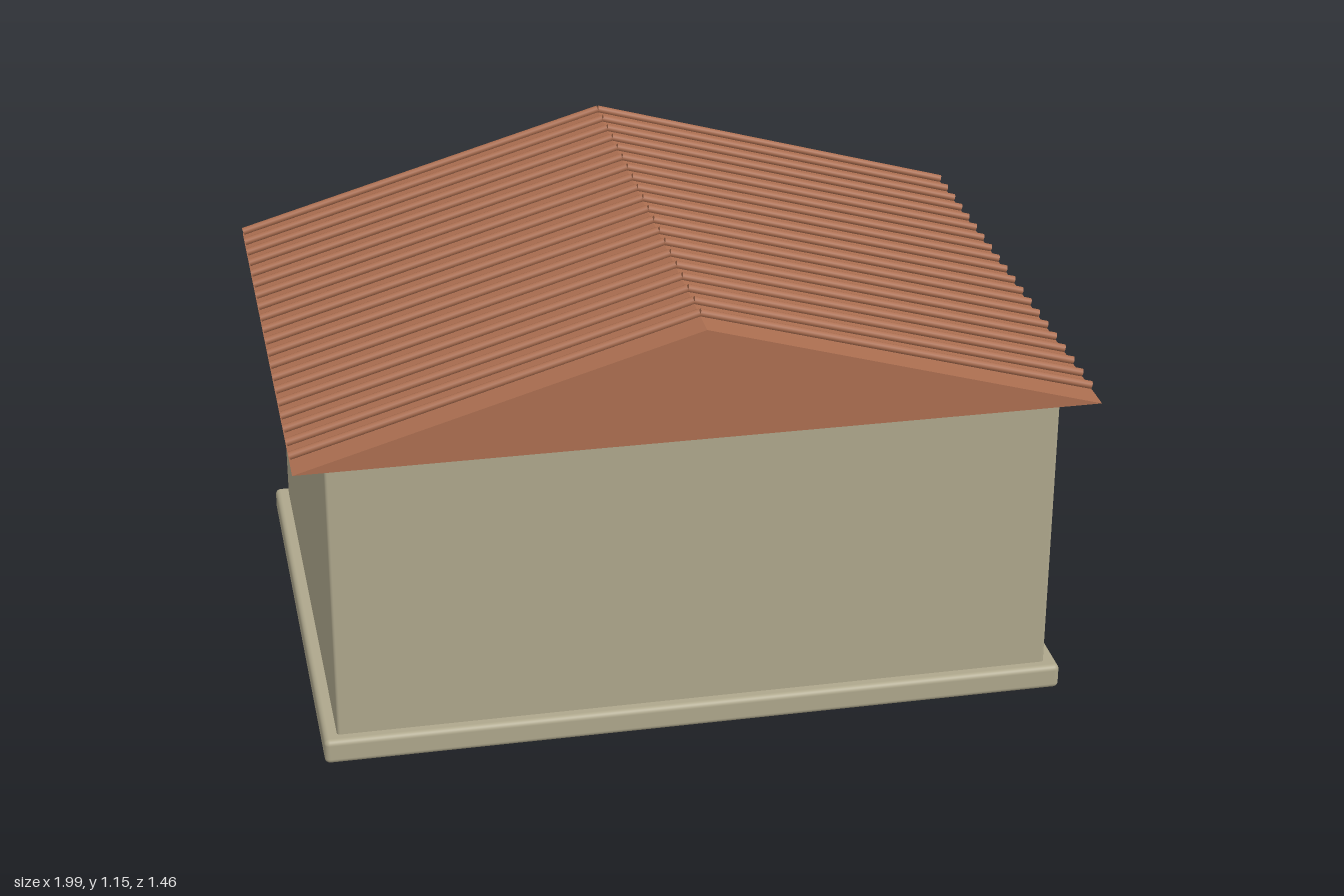
import * as THREE from 'three';
import { RoundedBoxGeometry } from 'three/addons/geometries/RoundedBoxGeometry.js';

export function createModel() {
  const mat = (name, color) => {
    const m = new THREE.MeshStandardMaterial({ color });
    m.name = name;
    return m;
  };
  const plaster = mat('plaster', 0xaea78c);
  const tile = mat('clay tile', 0xab6e50);
  const glass = mat('dark green', 0x394a43);
  const blue = mat('shutter blue', 0x356478);

  const house = new THREE.Group();
  house.name = 'house';
  const add = (parent, name, geometry, material, x = 0, y = 0, z = 0) => {
    const mesh = new THREE.Mesh(geometry, material);
    mesh.name = name;
    mesh.position.set(x, y, z);
    parent.add(mesh);
    return mesh;
  };
  // Box given by its limits on each axis
  const block = (parent, name, material, [x0, x1], [y0, y1], [z0, z1]) =>
    add(parent, name, new THREE.BoxGeometry(x1 - x0, y1 - y0, z1 - z0), material,
      (x0 + x1) / 2, (y0 + y1) / 2, (z0 + z1) / 2);

  // Walls and plinth
  add(house, 'walls', new RoundedBoxGeometry(1.83, 0.81, 1.31, 3, 0.008), plaster, 0, 0.437, 0);
  add(house, 'plinth', new RoundedBoxGeometry(1.9, 0.066, 1.37, 4, 0.014), plaster, 0, 0.033, 0);

  // Gabled roof
  const gable = new THREE.Shape([
    new THREE.Vector2(-0.995, 0.841),
    new THREE.Vector2(0.995, 0.841),
    new THREE.Vector2(0, 1.13),
  ]);
  add(house, 'roof', new THREE.ExtrudeGeometry(gable, { depth: 1.463, bevelEnabled: false }),
    tile, 0, 0, -0.731);

  // Round tile ribs running down both slopes
  const run = 0.994, rise = 0.286, ribY = 1.137;
  const ribGeometry = new THREE.CylinderGeometry(0.01, 0.01, Math.hypot(run, rise), 12);
  const ribs = new THREE.Group();
  ribs.name = 'roofRibs';
  house.add(ribs);
  for (let i = 0; i < 20; i++) {
    for (const side of [-1, 1]) {
      const rib = add(ribs, 'roofRib', ribGeometry, tile,
        side * run / 2, ribY - rise / 2, 0.647 - i * 0.072);
      rib.rotation.z = side * Math.atan2(run, rise);
    }
  }

  // Row of back windows, each with a sill and an open shutter
  for (let i = -3; i <= 3; i++) {
    const win = new THREE.Group();
    win.name = 'window';
    win.position.x = i * 0.261;
    house.add(win);
    block(win, 'windowFrame', blue, [-0.05, 0.055], [0.376, 0.525], [-0.664, -0.65]);
    block(win, 'windowPane', glass, [-0.05, 0.055], [0.376, 0.525], [-0.667, -0.664]);
    block(win, 'shutter', blue, [-0.088, -0.05], [0.376, 0.531], [-0.684, -0.65]);
    block(win, 'sill', plaster, [-0.084, 0.084], [0.359, 0.378], [-0.704, -0.65]);
  }

  // Back door under the middle window
  block(house, 'doorFrame', plaster, [-0.097, 0.097], [0.06, 0.36], [-0.68, -0.65]);
  block(house, 'door', glass, [-0.078, 0.078], [0.066, 0.332], [-0.687, -0.679]);

  return house;
}
